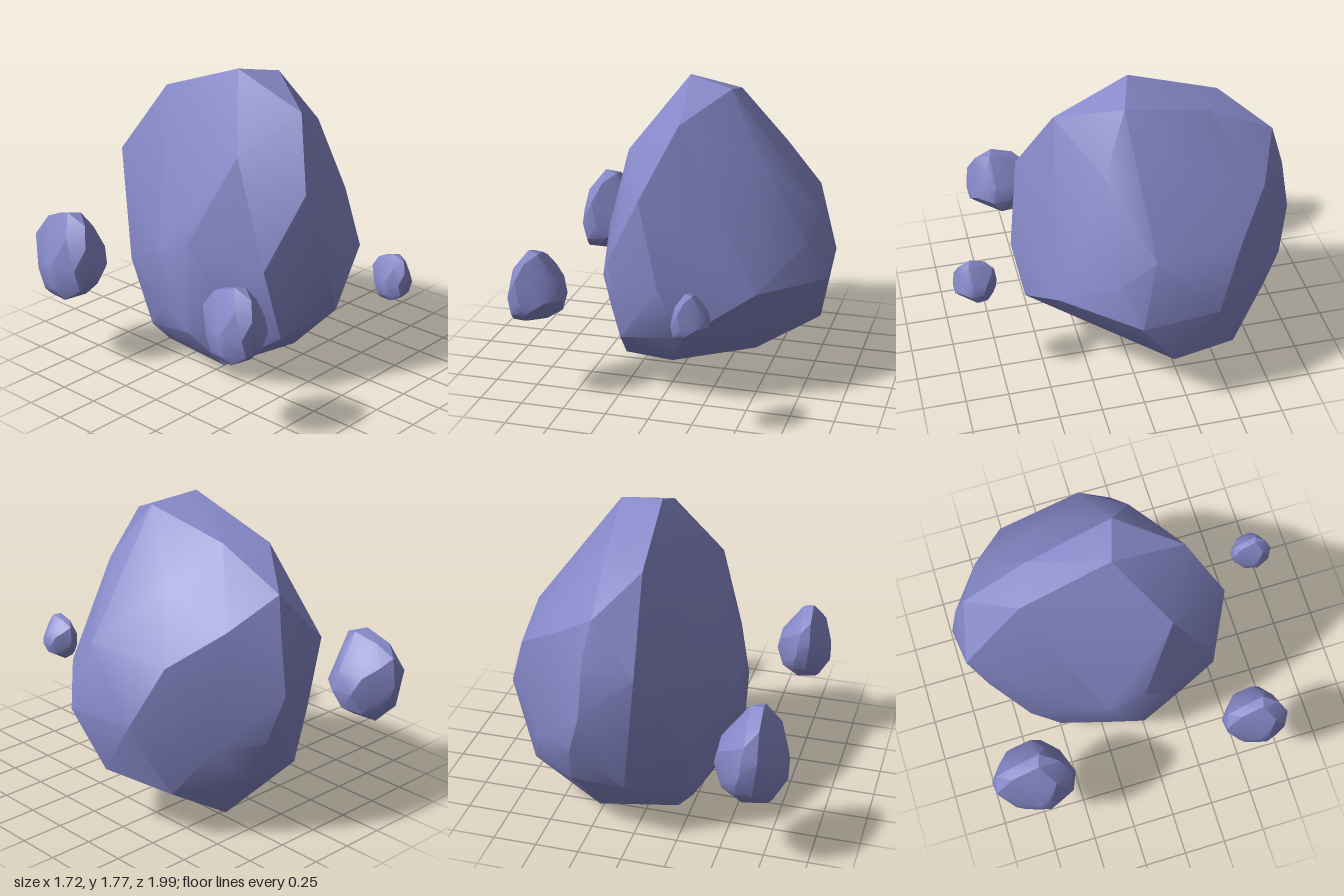
import * as THREE from 'three';
import { ConvexGeometry } from 'three/addons/geometries/ConvexGeometry.js';
import { toCreasedNormals } from 'three/addons/utils/BufferGeometryUtils.js';

// Corner points of the boulder, grouped by region
const crest = [
  [0.02, 1.77, -0.07], [0.28, 1.72, 0.01], [0.07, 1.59, 0.36],
  [-0.02, 1.58, -0.6], [0.22, 1.6, -0.49], [0.18, 1.4, -0.87],
];
const front = [
  [-0.11, 1.2, 0.55], [0.02, 0.72, 0.62], [0.15, 0.43, 0.57], [-0.24, 0.36, 0.49],
  [-0.33, 0.78, 0.44], [0.53, 0.68, 0.44], [0.3, 0.53, 0.5],
];
const leftSide = [
  [0.46, 1.42, 0.16], [0.49, 1.37, -0.33], [0.78, 1.05, -0.05], [0.76, 0.9, 0.14],
  [0.86, 0.66, 0.04], [0.83, 0.68, -0.4], [0.7, 1.03, -0.55], [0.45, 1.22, -0.75],
  [0.79, 0.34, -0.16],
];
const back = [
  [0.22, 1.18, -0.93], [0.23, 0.87, -0.98], [0.31, 0.6, -0.92], [-0.07, 1.12, -0.95],
  [0.02, 0.38, -0.86], [0.35, 0.35, -0.8], [0.65, 0.28, -0.55], [0.54, 0.57, -0.75],
];
const rightSide = [
  [-0.27, 1.38, 0.19], [-0.46, 0.85, -0.02], [-0.46, 0.75, -0.25], [-0.46, 0.31, -0.02],
  [-0.44, 0.6, 0.18], [-0.28, 0.53, -0.67], [-0.42, 0.38, -0.25], [-0.28, 0.15, -0.5],
];
const base = [
  [-0.32, 0.1, 0.13], [0.03, 0.19, 0.36], [0.41, 0.1, -0.13], [0, 0, -0.11],
  [0.26, 0.035, -0.57], [-0.18, 0.03, -0.46],
];

// Moves a point along its ray from the core so its distance r becomes r^power
const core = new THREE.Vector3(0.2, 0.8, -0.2);
function swell(point, power) {
  const offset = point.clone().sub(core);
  return offset.setLength(offset.length() ** power).add(core);
}

// Hull of the swollen points, shrunk back so shallow hollows are kept
function stoneGeometry(power = 0.8) {
  const points = [crest, front, leftSide, back, rightSide, base].flat()
    .map((p) => swell(new THREE.Vector3(...p), power));
  const hull = new ConvexGeometry(points);
  const position = hull.attributes.position;
  const corner = new THREE.Vector3();
  for (let i = 0; i < position.count; i++) {
    corner.fromBufferAttribute(position, i);
    position.setXYZ(i, ...swell(corner, 1 / power));
  }
  // Gentle bends stay smooth, strong bends stay sharp
  return toCreasedNormals(hull, 0.5);
}

export function createModel() {
  const group = new THREE.Group();
  group.name = 'floatingRocks';
  const stone = stoneGeometry();
  const material = new THREE.MeshStandardMaterial({ color: 0x8688c8 });

  // The boulder and its smaller copies
  const rocks = [
    ['boulder', 1, [0, 0, 0]],
    ['largeFragment', 0.3, [-0.725, 0.41, -0.706]],
    ['mediumFragment', 0.242, [-0.74, 0.445, 0.615]],
    ['smallFragment', 0.153, [0.25, 0.565, 0.9]],
  ];
  for (const [name, scale, position] of rocks) {
    const rock = new THREE.Mesh(stone, material);
    rock.name = name;
    rock.scale.setScalar(scale);
    rock.position.set(...position);
    group.add(rock);
  }
  return group;
}
